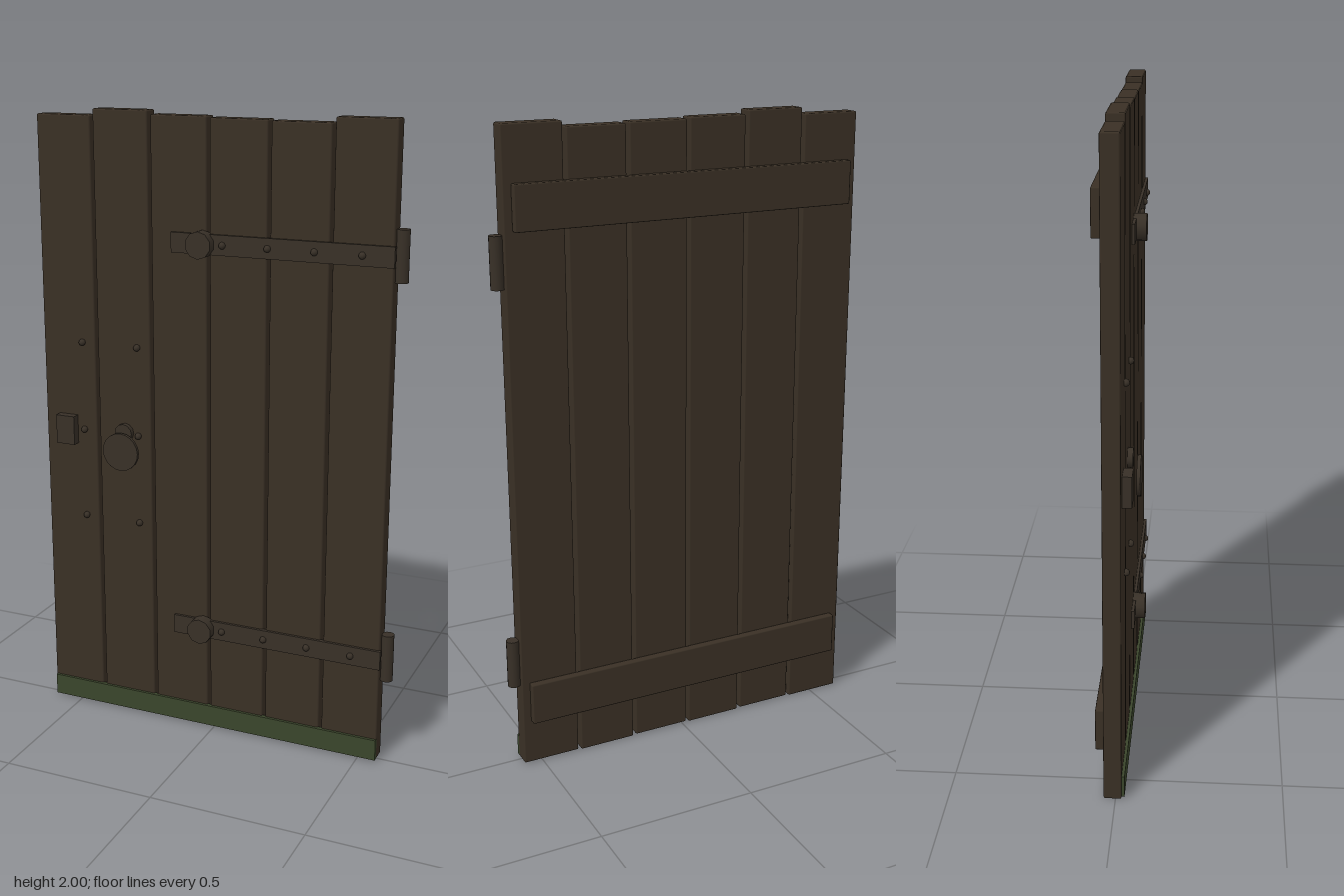
import * as THREE from 'three';
import { RoundedBoxGeometry } from 'three/addons/geometries/RoundedBoxGeometry.js';

function flat(name, color) {
  const m = new THREE.MeshStandardMaterial({ color });
  m.name = name;
  return m;
}

export function createModel() {
  const door = new THREE.Group();
  door.name = 'plankDoor';
  const wood = flat('dark wood', 0x3a3025);
  const iron = flat('aged iron', 0x383027);
  const moss = flat('moss green', 0x3a452b);

  const add = (name, geometry, material) => {
    const mesh = new THREE.Mesh(geometry, material);
    mesh.name = name;
    door.add(mesh);
    return mesh;
  };
  // Boxes are given by their opposite corners
  const box = (name, [x0, y0, z0], [x1, y1, z1], material, bevel = 0) => {
    const size = [x1 - x0, y1 - y0, z1 - z0];
    const geometry = bevel ? new RoundedBoxGeometry(...size, 1, bevel) : new THREE.BoxGeometry(...size);
    return add(name, geometry.translate((x0 + x1) / 2, (y0 + y1) / 2, (z0 + z1) / 2), material);
  };
  // Round plates face the front
  const disc = (name, x, y, r, z0, z1, sides) =>
    add(name, new THREE.CylinderGeometry(r, r, z1 - z0, sides).rotateX(Math.PI / 2)
      .translate(x, y, (z0 + z1) / 2), iron);
  const stud = (x, y, z) =>
    add('stud', new THREE.SphereGeometry(0.011, 10, 8).translate(x, y, z), iron);

  // Upright planks with uneven tops
  [1.98, 2, 1.988, 1.984, 1.981, 1.998].forEach((top, i) => {
    const x = -0.6 + i * 0.195;
    box('plank', [x, i % 2 ? 0.003 : 0, -0.036], [x + 0.185, top, 0.018], wood, 0.005);
  });

  // Cross battens on the back
  for (const y of [0.15, 1.7]) {
    box('backBatten', [-0.57, y, -0.062], [0.535, y + 0.135, -0.036], wood, 0.004);
  }

  // Hinges: strap, round boss, knuckle and studs
  for (const y of [0.353, 1.612]) {
    box('hingeStrap', [-0.14, y - 0.031, 0.013], [0.565, y + 0.031, 0.027], iron);
    disc('hingeBoss', -0.038, y, 0.042, 0.015, 0.057, 10);
    add('hingeKnuckle', new THREE.CylinderGeometry(0.02, 0.02, 0.155, 12)
      .translate(0.577, y, -0.012), iron);
    for (const x of [0.03, 0.175, 0.322, 0.468]) stud(x, y, 0.028);
  }

  // Studs on the latch side
  for (const x of [-0.459, -0.264]) {
    for (const y of [0.685, 0.98, 1.27]) stud(x, y, 0.023);
  }

  // Latch block, and a pull hanging in front of its mount
  box('latch', [-0.55, 0.93, 0.015], [-0.485, 1.025, 0.046], iron);
  disc('pullMount', -0.312, 0.987, 0.03, 0.015, 0.035, 12);
  disc('pull', -0.312, 0.93, 0.062, 0.047, 0.058, 20);

  // Mossy strip along the foot
  box('mossStrip', [-0.595, 0.006, 0.012], [0.56, 0.076, 0.027], moss);

  return door;
}
